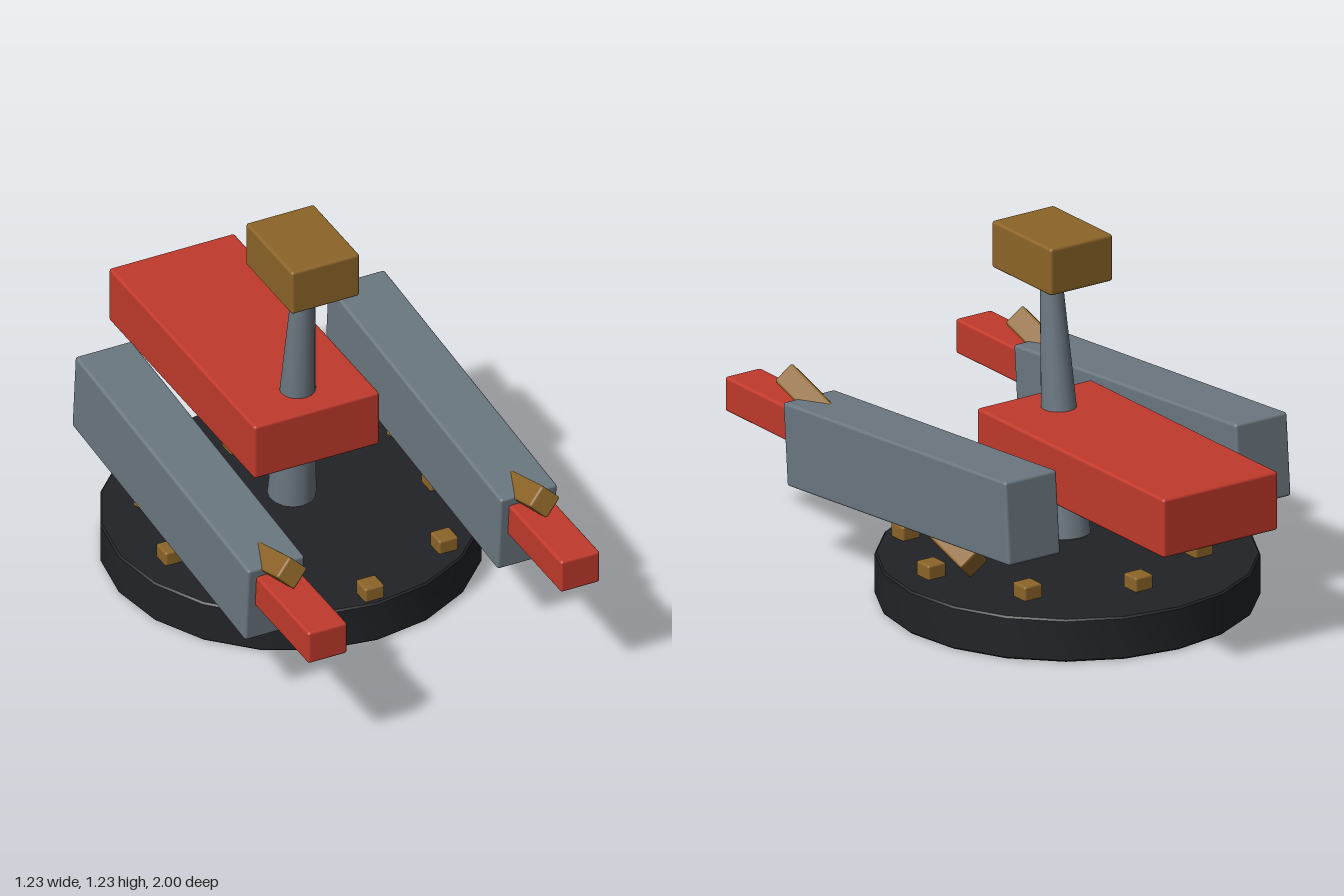
import * as THREE from 'three';
import { RoundedBoxGeometry } from 'three/addons/geometries/RoundedBoxGeometry.js';
import { toCreasedNormals } from 'three/addons/utils/BufferGeometryUtils.js';

const mat = (color) => new THREE.MeshStandardMaterial({ color });

export function createModel() {
  const model = new THREE.Group();
  const red = mat(0xc0392b), grey = mat(0x6b7780), brown = mat(0x8c6428), black = mat(0x212327);

  const add = (name, geometry, material, x, y, z, parent = model) => {
    const mesh = new THREE.Mesh(geometry, material);
    mesh.name = name;
    mesh.position.set(x, y, z);
    parent.add(mesh);
    return mesh;
  };
  const box = (name, size, material, pos, parent, bevel = 0.01) =>
    add(name, new RoundedBoxGeometry(...size, 2, bevel), material, ...pos, parent);

  // Round parts with small bevels on both rims
  const turned = (r0, r1, h, sides, b = 0.006) => {
    const profile = [[0, 0], [r0 - b, 0], [r0, b], [r1, h - b], [r1 - b, h], [0, h]]
      .map(([x, y]) => new THREE.Vector2(x, y));
    return toCreasedNormals(new THREE.LatheGeometry(profile, sides), 0.5);
  };

  // Base disc, set slightly back
  add('base', turned(0.617, 0.617, 0.145, 20), black, 0, 0, -0.155);

  // Ring of studs on the base
  for (let i = 0; i < 8; i++) {
    const a = (i * Math.PI) / 4;
    box('stud', [0.07, 0.07, 0.07], brown,
      [0.475 * Math.sin(a), 0.157, -0.07 + 0.475 * Math.cos(a)], model, 0.008);
  }

  // Central body, leaning tapered mast and its head
  box('body', [0.45, 0.2, 1.03], red, [0, 0.53, -0.485]);
  const mast = add('mast', turned(0.079, 0.034, 0.92, 16), grey, 0, 0.203, -0.15);
  mast.rotation.x = 0.1;
  box('head', [0.245, 0.16, 0.328], brown, [0, 1.149, -0.071]);

  // Mirrored side arms, each with a barrel and a diagonal strut
  for (const side of [1, -1]) {
    const arm = new THREE.Group();
    arm.name = side > 0 ? 'leftArm' : 'rightArm';
    arm.position.x = side * 0.453;
    model.add(arm);
    box('armBeam', [0.204, 0.28, 1.229], grey, [0, 0.446, 0.0125], arm).rotation.x = 0.081;
    box('barrel', [0.141, 0.118, 0.7], red, [0, 0.447, 0.65], arm);
    const strut = box('strut', [0.079, 0.079, 1.075], brown, [0, 0.403, 0.236], arm, 0.008);
    strut.rotation.set(-0.31, 0, Math.PI / 4);
  }

  return model;
}
